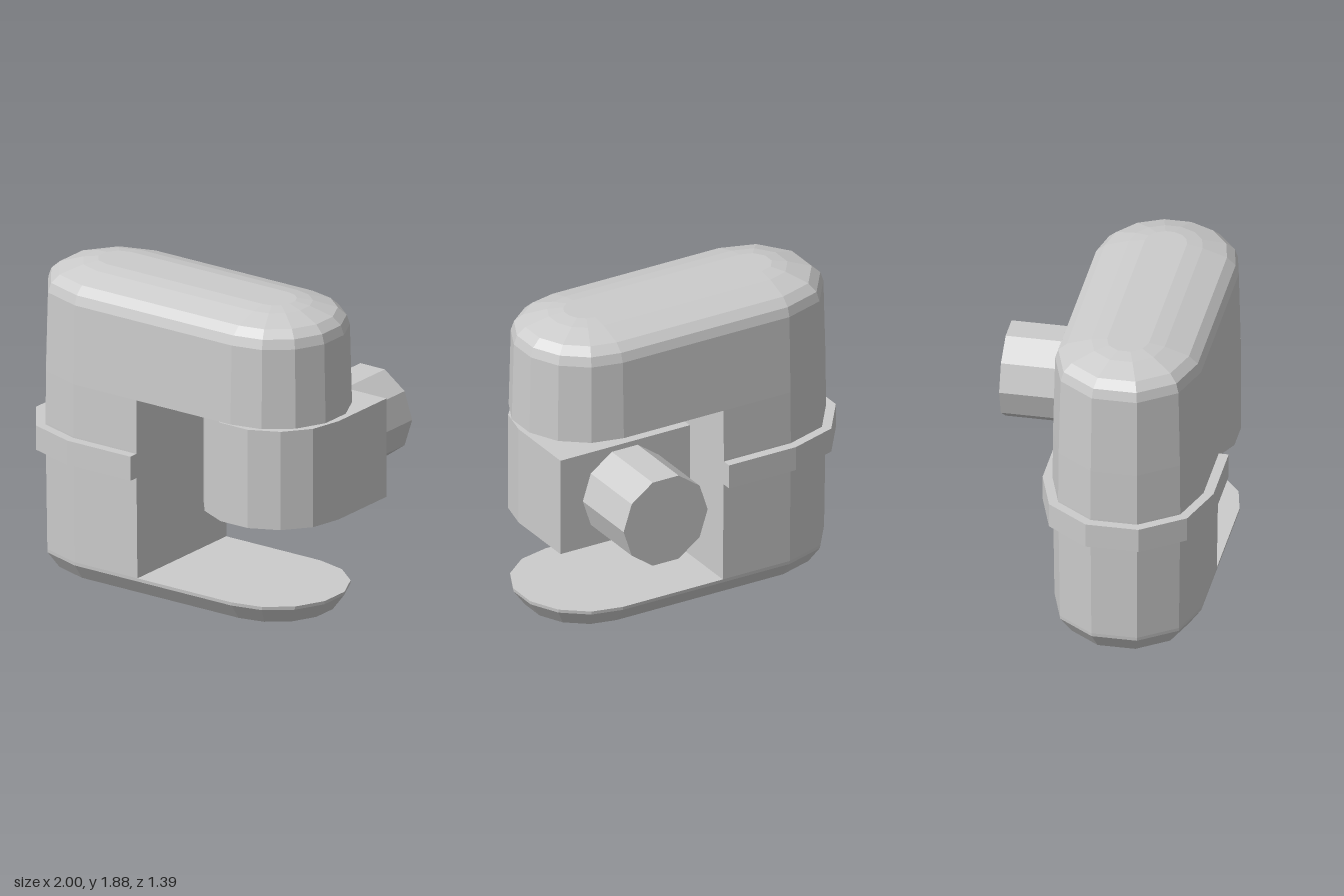
import * as THREE from 'three';

const CZ = 0.205;          // depth centre of the body
const LEFT = -0.53;        // centre of the left end arc
const RIGHT = 0.565;       // centre of the right end arc

const mat = new THREE.MeshStandardMaterial({ color: 0xcccccc, flatShading: true });

function addMesh(group, name, geometry) {
  const mesh = new THREE.Mesh(geometry, mat);
  mesh.name = name;
  group.add(mesh);
  return mesh;
}

// Points [x, z] on an arc, counter-clockwise seen from above
function arc(cx, cz, r, from, to, segments) {
  return Array.from({ length: segments + 1 }, (_, i) => {
    const a = THREE.MathUtils.degToRad(from + ((to - from) * i) / segments);
    return [cx + r * Math.cos(a), cz - r * Math.sin(a)];
  });
}

// Full pill-shaped cross-section
const pill = (r) => [
  ...arc(RIGHT, CZ, r, -90, 90, 7),
  ...arc(LEFT, CZ, r, 90, 270, 5),
];

// Pill cross-section cut straight at the inner wall of the opening
const cutPill = (r) => [
  ...arc(LEFT, CZ, r, 90, 270, 5),
  [-0.09, CZ + r],
  [-0.09, CZ - r],
];

// Closed solid through convex sections given as [height, radius] from bottom to top
function loft(section, levels) {
  const pos = [];
  const index = [];
  const rings = levels.map(([y, r]) => section(r).map(([x, z]) => [x, y, z]));
  const n = rings[0].length;
  rings.forEach((ring) => ring.forEach((p) => pos.push(...p)));
  for (let k = 0; k < rings.length - 1; k++) {
    for (let i = 0; i < n; i++) {
      const a = k * n + i;
      const b = k * n + ((i + 1) % n);
      index.push(a, b, b + n, a, b + n, a + n);
    }
  }
  const top = (rings.length - 1) * n;
  for (let i = 1; i < n - 1; i++) {
    index.push(0, i + 1, i);
    index.push(top, top + i, top + i + 1);
  }
  const geo = new THREE.BufferGeometry();
  geo.setAttribute('position', new THREE.Float32BufferAttribute(pos, 3));
  geo.setIndex(index);
  const flat = geo.toNonIndexed();
  flat.computeVertexNormals();
  return flat;
}

// Upright prism from a plan outline of [x, z] points
function prism(points, y0, y1, hole) {
  const toV = ([x, z]) => new THREE.Vector2(x, -z);
  const shape = new THREE.Shape(points.map(toV));
  if (hole) shape.holes.push(new THREE.Path(hole.map(toV)));
  const geo = new THREE.ExtrudeGeometry(shape, { depth: y1 - y0, bevelEnabled: false });
  return geo.rotateX(-Math.PI / 2).translate(0, y0, 0);
}

export function createModel() {
  const model = new THREE.Group();
  model.name = 'coffeeMachine';

  // C-shaped body: rounded base, rear column and overhanging head
  const body = new THREE.Group();
  body.name = 'body';
  model.add(body);
  addMesh(body, 'base', loft(pill, [
    [0, 0.12], [0.02, 0.21], [0.065, 0.35], [0.16, 0.42], [0.18, 0.422],
  ]));
  addMesh(body, 'column', loft(cutPill, [[0.18, 0.422], [0.94, 0.433], [1.25, 0.43]]));
  addMesh(body, 'head', loft(pill, [
    [1.25, 0.43], [1.72, 0.418], [1.775, 0.4], [1.82, 0.35], [1.865, 0.21], [1.88, 0.12],
  ]));

  // Trim band wrapped around the column
  addMesh(model, 'band', prism([
    [-0.09, CZ - 0.49],
    ...arc(LEFT, CZ, 0.49, 90, 270, 5),
    [-0.09, CZ + 0.49],
    [-0.09, CZ + 0.43],
    ...arc(LEFT, CZ, 0.43, 270, 90, 5),
    [-0.09, CZ - 0.43],
  ], 0.785, 0.93));

  // Brewing block: round front, square back, round recess underneath
  const block = new THREE.Group();
  block.name = 'brewingBlock';
  model.add(block);
  const outline = [
    ...arc(0.575, 0.2, 0.425, 180, 360, 7),
    [1, -0.255],
    [0.15, -0.255],
  ];
  const recess = arc(0.575, 0.2, 0.38, 0, 342, 19);
  addMesh(block, 'blockRim', prism(outline, 0.645, 0.745, recess));
  addMesh(block, 'blockTop', prism(outline, 0.745, 1.235));

  // Knob at the back of the block
  const knob = addMesh(model, 'knob',
    new THREE.CylinderGeometry(0.276, 0.276, 0.46, 10, 1, false, Math.PI / 2).rotateX(Math.PI / 2));
  knob.position.set(0.577, 0.94, -0.47);

  return model;
}
